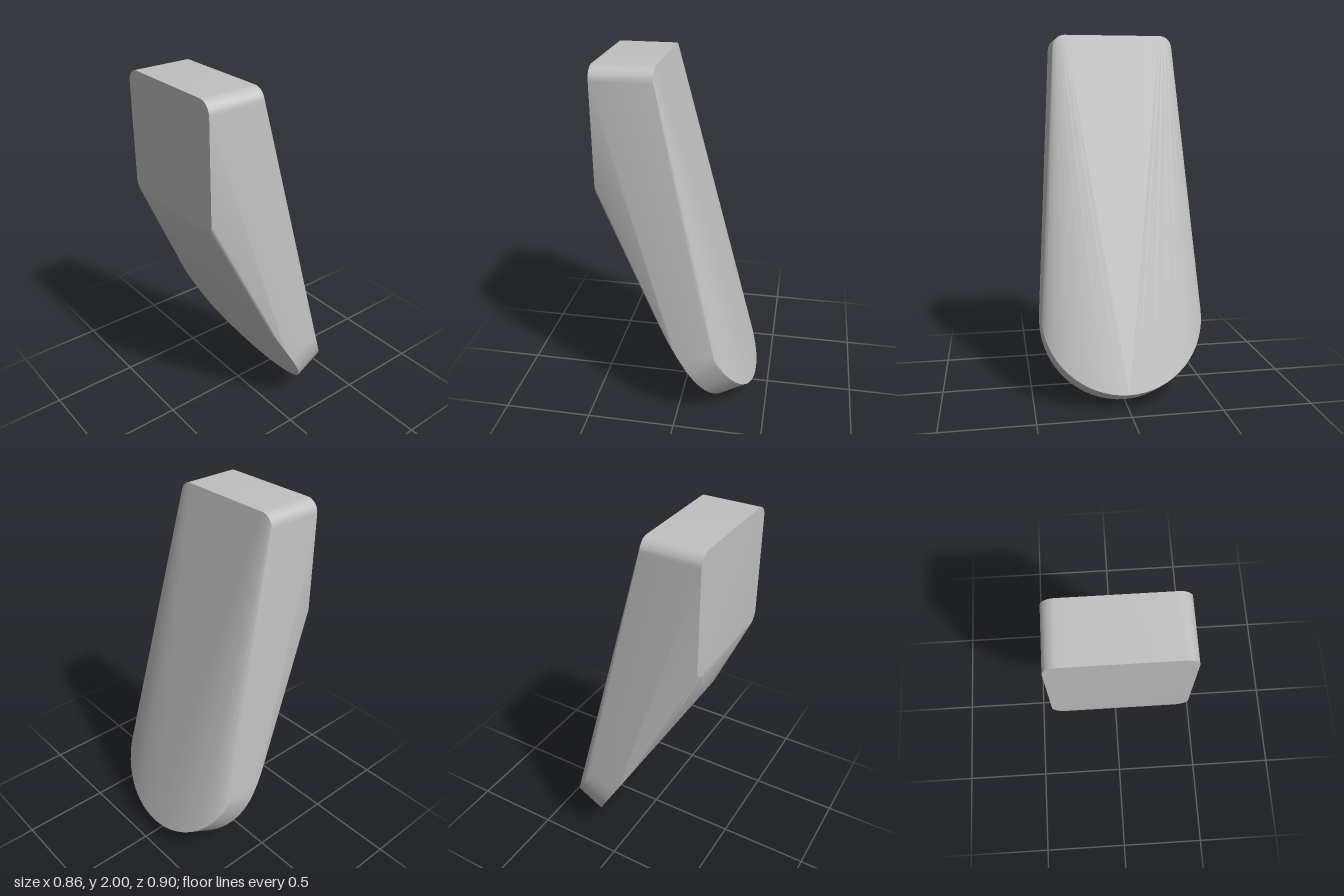
import * as THREE from 'three';
import { ConvexGeometry } from 'three/addons/geometries/ConvexGeometry.js';
import { toCreasedNormals } from 'three/addons/utils/BufferGeometryUtils.js';

// Rounded square of the upper block, drawn in the yz plane at a given x
function blockOutline(x) {
  const points = [], half = 0.34, radius = 0.07, inner = half - radius, steps = 8;
  for (const [sz, sy, start] of [[1, 1, 0], [-1, 1, 1], [-1, -1, 2], [1, -1, 3]]) {
    for (let i = 0; i <= steps; i++) {
      const a = (start + i / steps) * Math.PI / 2;
      points.push(new THREE.Vector3(
        x,
        1.66 + sy * inner + radius * Math.sin(a),
        sz * inner + radius * Math.cos(a)
      ));
    }
  }
  return points;
}

// Round toe outline in a plane tilted by 60 degrees; `rear` is its upper length
function toeOutline(cx, cy, rear) {
  const points = [], radius = 0.45, steps = 64;
  for (let i = 0; i < steps; i++) {
    const a = (i / steps) * Math.PI * 2;
    const along = Math.sin(a) * (Math.sin(a) > 0 ? rear : radius);
    points.push(new THREE.Vector3(
      cx - along * 0.5,
      cy + along * 0.866,
      Math.cos(a) * radius
    ));
  }
  return points;
}

export function createModel() {
  const group = new THREE.Group();
  group.name = 'taperedWedge';
  const grey = new THREE.MeshStandardMaterial({ color: 0xc0c0c0 });
  grey.name = 'light grey';

  // Taut skin stretched over the upper block and the slanted round toe
  const hull = new ConvexGeometry([
    ...blockOutline(-0.43),
    ...blockOutline(-0.11),
    ...toeOutline(0.045, 0.39, 0.7),
    ...toeOutline(0.2, 0.48, 0.45),
  ]);
  const body = new THREE.Mesh(toCreasedNormals(hull, 0.52), grey);
  body.name = 'body';
  group.add(body);
  return group;
}
